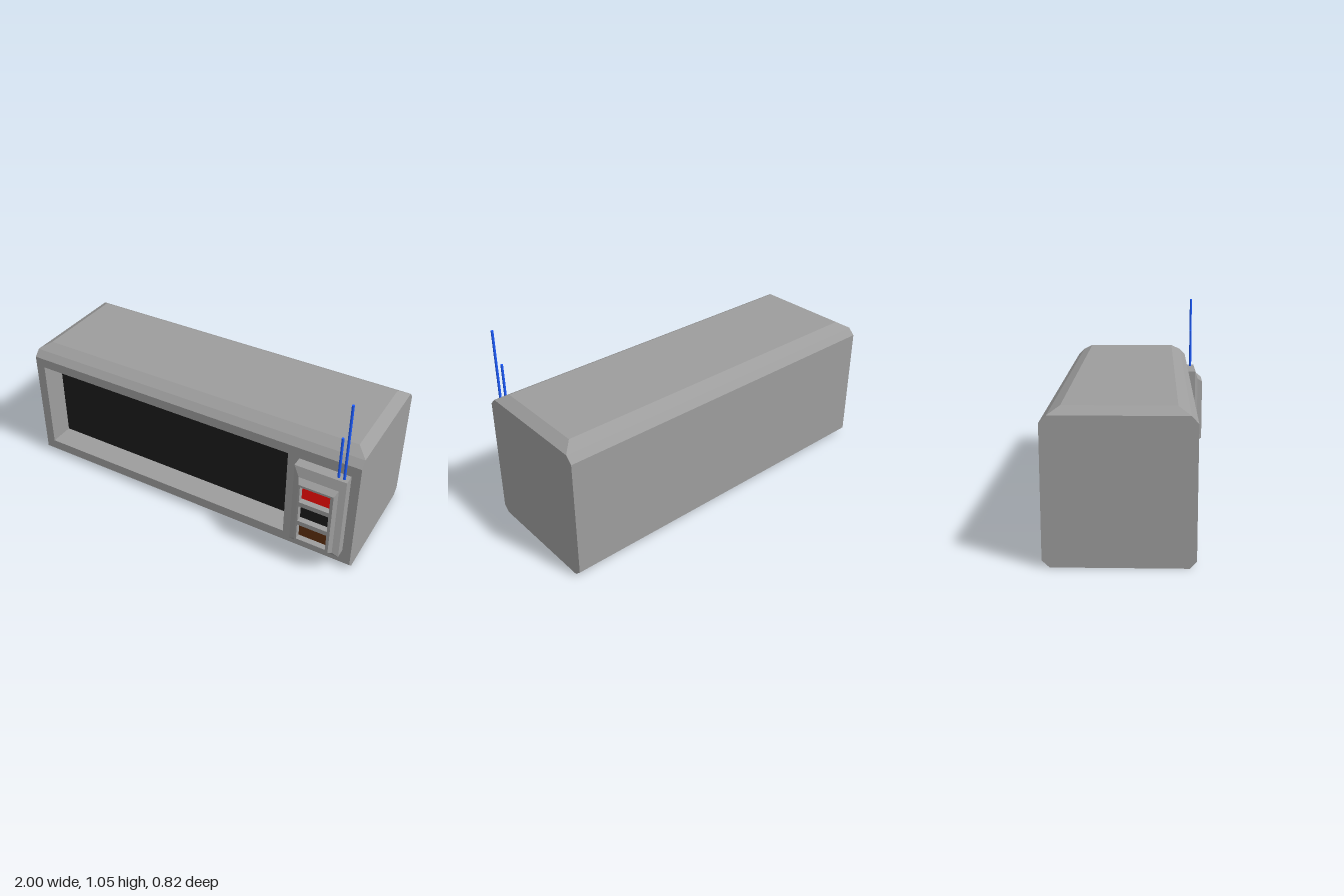
import * as THREE from 'three';

const material = (color, flatShading = true) => new THREE.MeshStandardMaterial({ color, flatShading });
const grey = material(0x9d9d9d);

// Rectangular sections, ordered counter-clockwise as seen from the far end of their axis
const sectionZ = (x0, x1, y0, y1, z) => [[x0, y0, z], [x1, y0, z], [x1, y1, z], [x0, y1, z]];
const sectionY = (x, zBack, zFront, y) => [[-x, y, zBack], [-x, y, zFront], [x, y, zFront], [x, y, zBack]];

// Flat-sided skin through four-cornered sections
function loft(sections, { startCap = false, endCap = false, skip = () => false } = {}) {
  const pos = [];
  const quad = (a, b, c, d) => pos.push(...a, ...b, ...c, ...a, ...c, ...d);
  for (let k = 0; k < sections.length - 1; k++) {
    const a = sections[k], b = sections[k + 1];
    for (let i = 0; i < 4; i++) {
      const j = (i + 1) % 4;
      if (!skip(k, i)) quad(a[i], a[j], b[j], b[i]);
    }
  }
  if (startCap) quad(...[...sections[0]].reverse());
  if (endCap) quad(...sections[sections.length - 1]);
  const geometry = new THREE.BufferGeometry();
  geometry.setAttribute('position', new THREE.Float32BufferAttribute(pos, 3));
  geometry.computeVertexNormals();
  return geometry;
}

function add(group, name, geometry, mat = grey) {
  const mesh = new THREE.Mesh(geometry, mat);
  mesh.name = name;
  group.add(mesh);
  return mesh;
}

// Flat plate facing +z with rectangular openings; rectangles are [x0, x1, y0, y1]
function plate([x0, x1, y0, y1], openings, z) {
  const points = (a, b, c, d) => [[a, c], [b, c], [b, d], [a, d]].map(p => new THREE.Vector2(...p));
  const shape = new THREE.Shape(points(x0, x1, y0, y1));
  for (const o of openings) shape.holes.push(new THREE.Path(points(...o).reverse()));
  return new THREE.ShapeGeometry(shape).translate(0, 0, z);
}

// Inward-facing walls of an opening plus the coloured panel at its back
function recess(group, name, rect, zFront, zBack, color) {
  add(group, name + 'Walls', loft([sectionZ(...rect, zFront), sectionZ(...rect, zBack)]));
  add(group, name, plate(rect, [], zBack), material(color));
}

export function createModel() {
  const model = new THREE.Group();
  model.name = 'microwaveOven';

  // Chamfered cabinet, with the flat front left out for the door frame
  const cabinet = new THREE.Group();
  cabinet.name = 'cabinet';
  model.add(cabinet);
  const front = 0.303;
  add(cabinet, 'shell', loft([
    sectionY(1, -0.372, 0.27, 0),
    sectionY(1, -0.408, front, 0.034),
    sectionY(1, -0.408, front, 0.68),
    sectionY(1, -0.372, 0.27, 0.716),
    sectionY(0.943, -0.315, 0.212, 0.75),
  ], { startCap: true, endCap: true, skip: (band, side) => band === 1 && side === 1 }));

  // Front frame and deep-set dark window
  const opening = [-0.945, 0.612, 0.092, 0.625];
  add(cabinet, 'frontFrame', plate([-1, 1, 0.034, 0.68], [opening], front));
  recess(cabinet, 'window', opening, front, 0.163, 0x1b1b1b);

  // Stepped control panel
  const controls = new THREE.Group();
  controls.name = 'controlPanel';
  model.add(controls);
  const face = [0.724, 0.911, 0.172, 0.545], faceZ = 0.408;
  add(controls, 'panelHousing', loft([
    sectionZ(0.675, 0.953, 0.121, 0.618, front - 0.01),
    sectionZ(0.675, 0.953, 0.121, 0.618, 0.36),
    sectionZ(0.709, 0.923, 0.152, 0.567, 0.378),
    sectionZ(...face, faceZ),
  ]));

  // Three sunken buttons
  const buttons = [
    ['redButton', 0.435, 0xff0c08],
    ['blackButton', 0.31, 0x1b1b1b],
    ['brownButton', 0.185, 0x5f2f0e],
  ].map(([name, y, color]) => ({ name, color, rect: [0.733, 0.895, y, y + 0.098] }));
  add(controls, 'panelFace', plate(face, buttons.map(b => b.rect), faceZ));
  for (const b of buttons) recess(controls, b.name, b.rect, faceZ, 0.375, b.color);

  // Two thin rods standing on the control panel
  const blue = material(0x1c5cff, false);
  for (const [name, x, top] of [['shortRod', 0.9, 0.855], ['longRod', 0.93, 1.055]]) {
    const base = 0.61;
    add(model, name, new THREE.CylinderGeometry(0.0068, 0.0068, top - base, 24), blue)
      .position.set(x, (top + base) / 2, 0.337);
  }
  return model;
}
